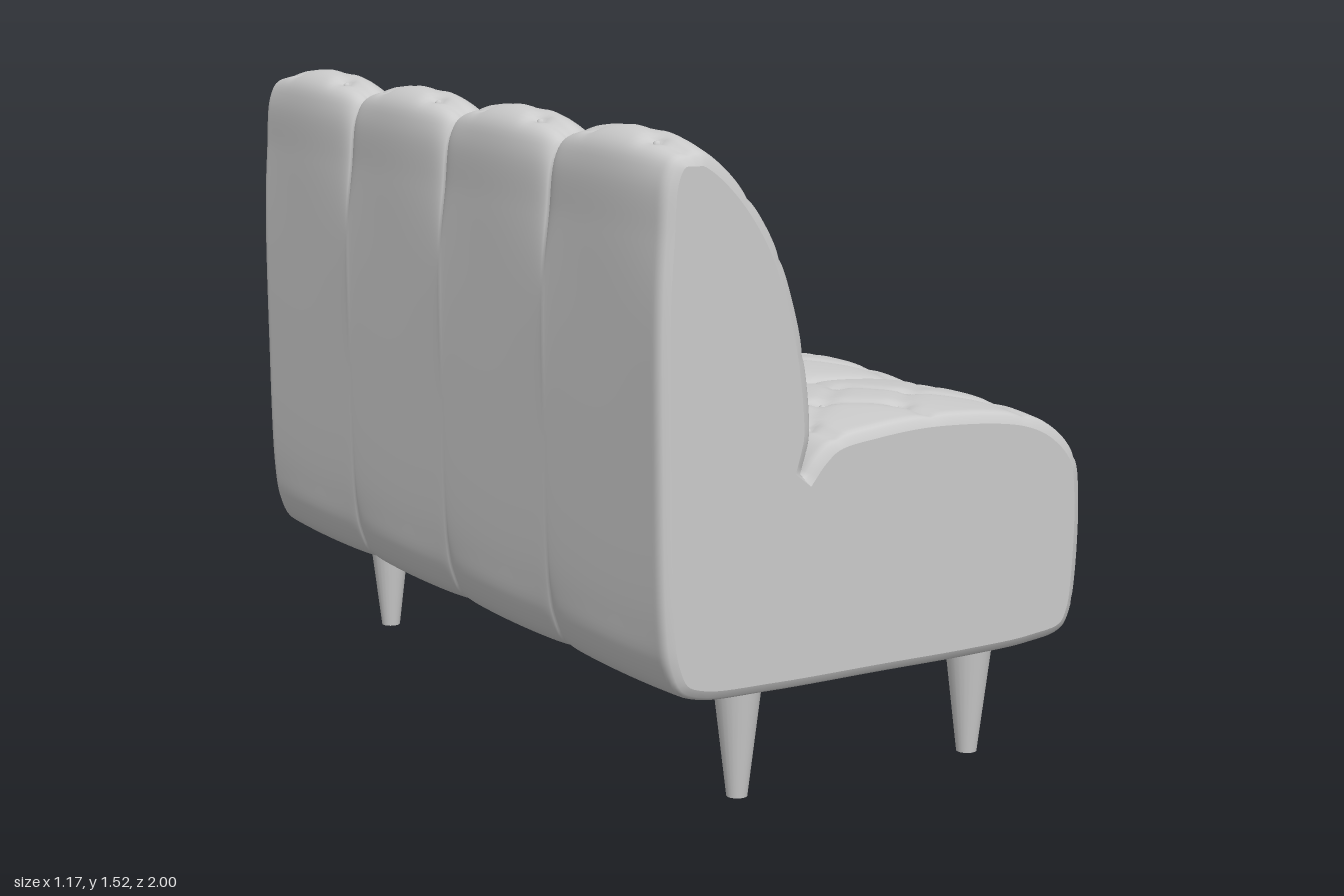
import * as THREE from 'three';

const { clamp, smoothstep } = THREE.MathUtils;
const SECTIONS = 4, COLS = 40, RINGS = 280;

// Side profile, counterclockwise: x, y, depth of the seams between sections
const PROFILE = [
  [0.42, 0.275, 0.01], [0.52, 0.292, 0.02], [0.56, 0.34, 0.04], [0.577, 0.42, 0.05], [0.582, 0.62, 0.05],
  [0.565, 0.72, 0.05], [0.5, 0.79, 0.04], [0.4, 0.835, 0.03], [0.15, 0.863, 0.03], [-0.02, 0.855, 0.03],
  [-0.14, 0.835, 0.03], [-0.19, 0.79, 0.015], [-0.22, 0.745, 0], [-0.205, 0.79, 0.005],
  [-0.188, 0.84, 0.02], [-0.2, 1.0, 0.025], [-0.23, 1.14, 0.03], [-0.275, 1.27, 0.035], [-0.345, 1.39, 0.05],
  [-0.42, 1.48, 0.08], [-0.47, 1.515, 0.1], [-0.52, 1.515, 0.1], [-0.565, 1.485, 0.07], [-0.583, 1.43, 0.04],
  [-0.587, 1.3, 0.02], [-0.588, 1.15, 0], [-0.587, 0.8, 0], [-0.58, 0.45, 0.005], [-0.57, 0.36, 0.015],
  [-0.54, 0.3, 0.015], [-0.48, 0.276, 0.012], [-0.3, 0.272, 0], [0, 0.272, 0], [0.25, 0.272, 0],
];

// Rows of tufting along the profile: two buttons and one button in turn
const ROWS = [
  [0.58, 0.37], [0.58, 0.54], [0.56, 0.73], [0.5, 0.8], [0.39, 0.835], [0.24, 0.855], [0.13, 0.86], [0, 0.855],
  [-0.13, 0.84], [-0.19, 0.85], [-0.2, 1.02], [-0.23, 1.13], [-0.265, 1.24], [-0.3, 1.31], [-0.345, 1.385],
  [-0.455, 1.5], [-0.52, 1.51],
];
const CREASE_ROW = 8; // no stitching between this row and the next
const PAIR = 0.12;

export function createModel() {
  const group = new THREE.Group();
  const material = new THREE.MeshStandardMaterial({ color: 0xcccccc, roughness: 0.8 });
  const add = (geometry, name, parent = group) => {
    const mesh = new THREE.Mesh(geometry, material);
    mesh.name = name;
    parent.add(mesh);
    return mesh;
  };

  // Sample the profile, with outward normals and arc length
  const curve = new THREE.CatmullRomCurve3(PROFILE.map((p) => new THREE.Vector3(...p)), true);
  const points = curve.getSpacedPoints(RINGS).slice(0, RINGS);
  const arc = [0];
  const normals = points.map((p, i) => {
    const a = points[(i + RINGS - 1) % RINGS], b = points[(i + 1) % RINGS];
    if (i) arc[i] = arc[i - 1] + Math.hypot(p.x - points[i - 1].x, p.y - points[i - 1].y);
    return new THREE.Vector2(b.y - a.y, a.x - b.x).normalize();
  });
  const nearest = ([x, y]) => {
    let best = 0, least = Infinity;
    points.forEach((p, i) => {
      const d = Math.hypot(p.x - x, p.y - y);
      if (d < least) { least = d; best = i; }
    });
    return best;
  };

  // Buttons and stitch lines of one section, in (arc length, width)
  const rows = ROWS.map((r, k) => {
    const ring = nearest(r);
    return (k % 2 ? [0] : [-PAIR, PAIR]).map((w) => ({ ring, s: arc[ring], w }));
  });
  const buttons = rows.flat();
  const lines = [];
  rows.forEach((row, k) => {
    for (const a of row) {
      if (k + 1 < rows.length && k !== CREASE_ROW) rows[k + 1].forEach((b) => lines.push([a, b]));
      if (a.w) lines.push([a, { s: a.s, w: Math.sign(a.w) * 0.25 }]);
    }
  });
  const tuft = (s, w) => {
    let near = 1, dip = 0;
    for (const [a, b] of lines) {
      const ds = b.s - a.s, dw = b.w - a.w;
      const t = clamp(((s - a.s) * ds + (w - a.w) * dw) / (ds * ds + dw * dw), 0, 1);
      near = Math.min(near, Math.hypot(s - a.s - t * ds, w - a.w - t * dw));
    }
    for (const b of buttons) dip = Math.max(dip, Math.exp(-(((s - b.s) ** 2 + (w - b.w) ** 2) / 0.0006)));
    return 0.009 * Math.exp(-near / 0.016) + 0.012 * dip;
  };

  // Surface point: profile ring i, section k, u from -1 to 1 across the section
  const surface = (i, k, u) => {
    const p = points[i], n = normals[i];
    const v = -1 + (k + (u + 1) / 2) * (2 / SECTIONS);
    const outer = (k === 0 && u < 0) || (k === SECTIONS - 1 && u > 0);
    const tight = outer ? 1 : Math.sqrt(Math.max(0, 1 - Math.abs(u) ** 12));
    const bulge = 0.4 * (1 - u * u) + 0.6 * tight;
    const edge = clamp((Math.abs(v) - 0.97) / 0.03, 0, 1);
    const round = 0.025 * (1 - Math.sqrt(1 - edge * edge));
    const inset = p.z * (1 - bulge) + round + tuft(arc[i], u * 0.25) * (1 - edge);
    // Outer seams lean inward down the front
    const seam = 0.495 - 0.08 * clamp((0.85 - p.y) / 0.55, 0, 1) * smoothstep(p.x, -0.3, 0.5);
    const a = Math.abs(v);
    const z = a < 0.5 ? a * seam * 2 : 1 - (1 - a) * (1 - seam) * 2;
    return new THREE.Vector3(p.x - n.x * inset, p.y - n.y * inset, Math.sign(v) * z);
  };

  // Upholstered body, columns crowded towards the seams
  const position = [], index = [];
  const total = SECTIONS * COLS;
  for (let c = 0; c <= total; c++) {
    const k = Math.min(SECTIONS - 1, Math.floor(c / COLS));
    const f = (2 * (c - k * COLS)) / COLS - 1;
    const u = 0.5 * f + 0.5 * Math.sin((f * Math.PI) / 2);
    for (let i = 0; i < RINGS; i++) {
      position.push(...surface(i, k, u).toArray());
      if (c === total) continue;
      const a = c * RINGS + i, b = c * RINGS + ((i + 1) % RINGS);
      index.push(a, b, a + RINGS, b, b + RINGS, a + RINGS);
    }
  }
  const body = new THREE.BufferGeometry();
  body.setAttribute('position', new THREE.Float32BufferAttribute(position, 3));
  body.setIndex(index);
  body.computeVertexNormals();
  add(body, 'upholstery');

  // Flat end panels
  for (const side of [1, -1]) {
    const rim = points.map((_, i) => surface(i, side > 0 ? SECTIONS - 1 : 0, side));
    const panel = new THREE.ShapeGeometry(new THREE.Shape(rim.map((p) => new THREE.Vector2(p.x, p.y))));
    panel.translate(0, 0, side);
    if (side < 0) panel.index.array.reverse();
    panel.computeVertexNormals();
    add(panel, side > 0 ? 'leftEndPanel' : 'rightEndPanel');
  }

  // Tufting buttons
  const buttonGroup = new THREE.Group();
  buttonGroup.name = 'buttons';
  group.add(buttonGroup);
  const buttonGeometry = new THREE.SphereGeometry(0.011, 8, 6);
  for (let k = 0; k < SECTIONS; k++) {
    for (const b of buttons) {
      const mesh = add(buttonGeometry, 'button', buttonGroup);
      mesh.position.copy(surface(b.ring, k, b.w / 0.25));
    }
  }

  // Tapered legs
  const legGeometry = new THREE.CylinderGeometry(0.06, 0.024, 0.3, 24);
  for (const x of [-0.3, 0.345]) {
    for (const z of [-0.86, 0.86]) add(legGeometry, 'leg').position.set(x, 0.15, z);
  }
  return group;
}
